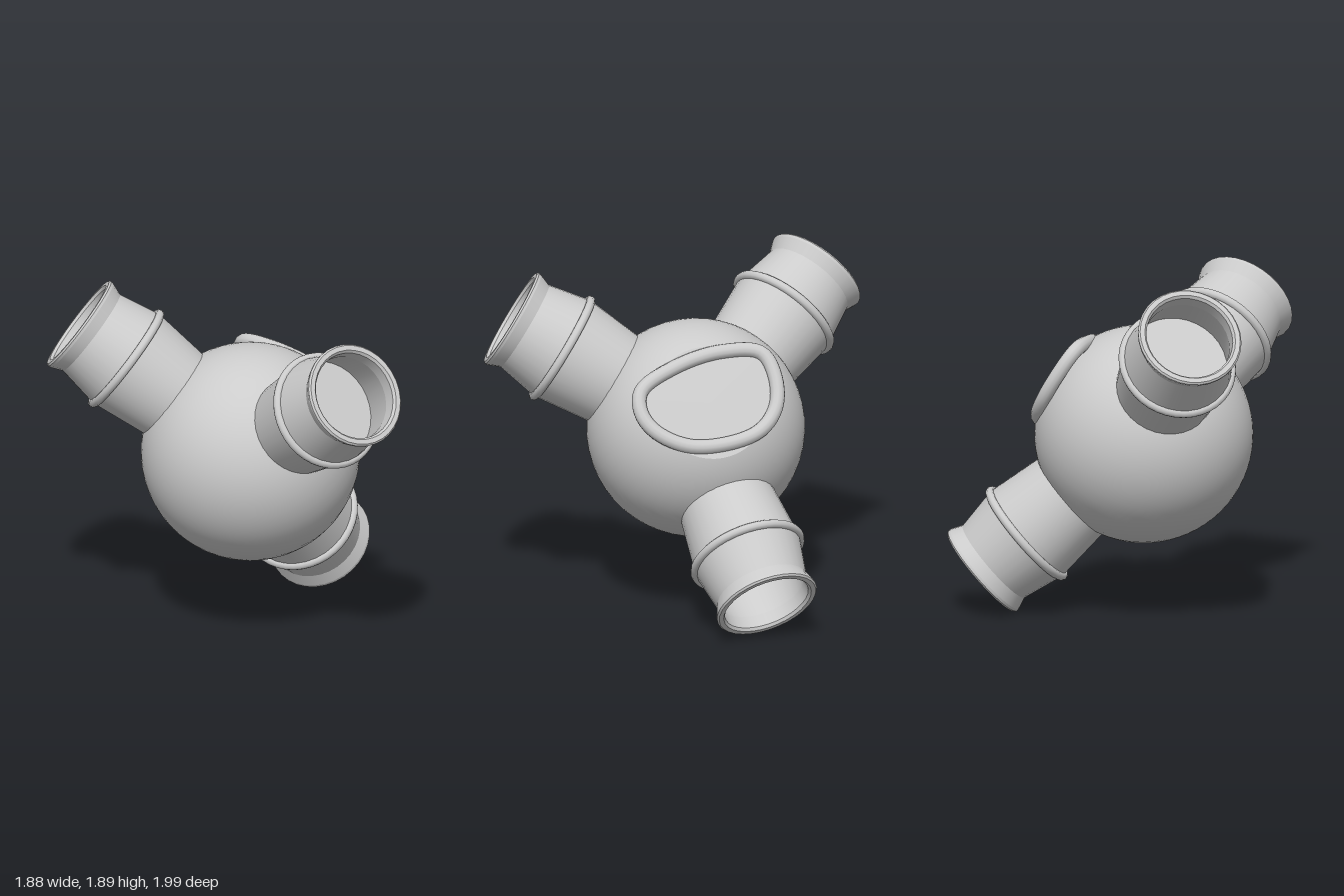
import * as THREE from 'three';
import { mergeGeometries } from 'three/addons/utils/BufferGeometryUtils.js';

const CENTER = new THREE.Vector3(0.1, 0.98, -0.12);
const RADIUS = 0.59;
const UP = new THREE.Vector3(0, 1, 0);
// Plane of the flat oval window: normal and distance from the ball's centre
const FACE = new THREE.Vector3(0.73, 0.52, -0.44).normalize();
const FACE_DIST = 0.5;

const material = new THREE.MeshStandardMaterial({ color: 0xcccccc });
const thin = new THREE.MeshStandardMaterial({ color: 0xcccccc, side: THREE.DoubleSide });

function part(name, geometry, mat = material) {
  const mesh = new THREE.Mesh(geometry, mat);
  mesh.name = name;
  return mesh;
}

// Lathe with a sharp edge at every profile point
function sharpLathe(profile, sides) {
  const points = profile.map(([r, y]) => new THREE.Vector2(r, y));
  return mergeGeometries(points.slice(1).map((p, i) => new THREE.LatheGeometry([points[i], p], sides)));
}

// Group at the ball's centre whose +y points along a direction
function radialGroup(name, direction) {
  const group = new THREE.Group();
  group.name = name;
  group.position.copy(CENTER);
  group.quaternion.setFromUnitVectors(UP, direction.clone().normalize());
  return group;
}

// Hollow pipe: swelling body, flared rim, inner wall and floor, plus a bead
function createPipe(name, direction) {
  const pipe = radialGroup(name, direction);
  const profile = [
    [0.262, 0.48], [0.3, 0.84], [0.257, 1.075], [0.283, 1.14], [0.285, 1.155],
    [0.276, 1.165], [0.25, 1.165], [0.238, 1.15], [0.235, 1.08], [0.275, 0.84], [0, 0.84],
  ];
  pipe.add(part('pipeBody', sharpLathe(profile, 32), thin));
  const bead = part('pipeBead', new THREE.TorusGeometry(0.3, 0.024, 10, 40));
  bead.rotation.x = Math.PI / 2;
  bead.position.y = 0.84;
  pipe.add(bead);
  return pipe;
}

// Oval window: a tube frame lying in the flat plane, with a panel inside
function createWindow() {
  const group = new THREE.Group();
  group.name = 'ovalWindow';
  const outline = [
    [1.31, 0], [1.42, -0.14], [1.48, -0.34], [1.465, -0.53], [1.35, -0.62],
    [1.2, -0.655], [1.085, -0.59], [1.035, -0.315], [1.11, -0.12], [1.205, -0.025],
  ].map(([y, z]) => {
    const rest = FACE.y * (y - CENTER.y) + FACE.z * (z - CENTER.z);
    return new THREE.Vector3(CENTER.x + (FACE_DIST - rest) / FACE.x, y, z);
  });
  const curve = new THREE.CatmullRomCurve3(outline, true);
  group.add(part('windowFrame', new THREE.TubeGeometry(curve, 72, 0.04, 12, true)));

  // Panel: a fan from the middle of the plane to the frame
  const middle = CENTER.clone().addScaledVector(FACE, FACE_DIST + 0.004);
  const rim = curve.getSpacedPoints(48);
  const corners = [];
  for (let i = 0; i < 48; i++) corners.push(middle, rim[i + 1], rim[i]);
  const panel = new THREE.BufferGeometry().setFromPoints(corners);
  panel.computeVertexNormals();
  group.add(part('windowPanel', panel, thin));
  return group;
}

export function createModel() {
  const model = new THREE.Group();
  model.name = 'pipeJunction';

  // Ball with one side sliced flat for the window
  const cut = Math.acos(FACE_DIST / RADIUS);
  const ball = radialGroup('ball', FACE);
  ball.add(part('ballShell', new THREE.SphereGeometry(RADIUS, 48, 32, 0, Math.PI * 2, cut, Math.PI - cut)));
  const flat = part('ballFlat', new THREE.CircleGeometry(RADIUS * Math.sin(cut), 48));
  flat.rotation.x = -Math.PI / 2;
  flat.position.y = FACE_DIST;
  ball.add(flat);
  model.add(ball);

  // Three pipes pointing out from the ball's centre
  model.add(createPipe('frontPipe', new THREE.Vector3(0.285, 0.595, 0.955)));
  model.add(createPipe('upperRightPipe', new THREE.Vector3(-0.85, 0.695, -0.383)));
  model.add(createPipe('lowerLeftPipe', new THREE.Vector3(0.6, -0.765, -0.635)));

  model.add(createWindow());
  return model;
}
